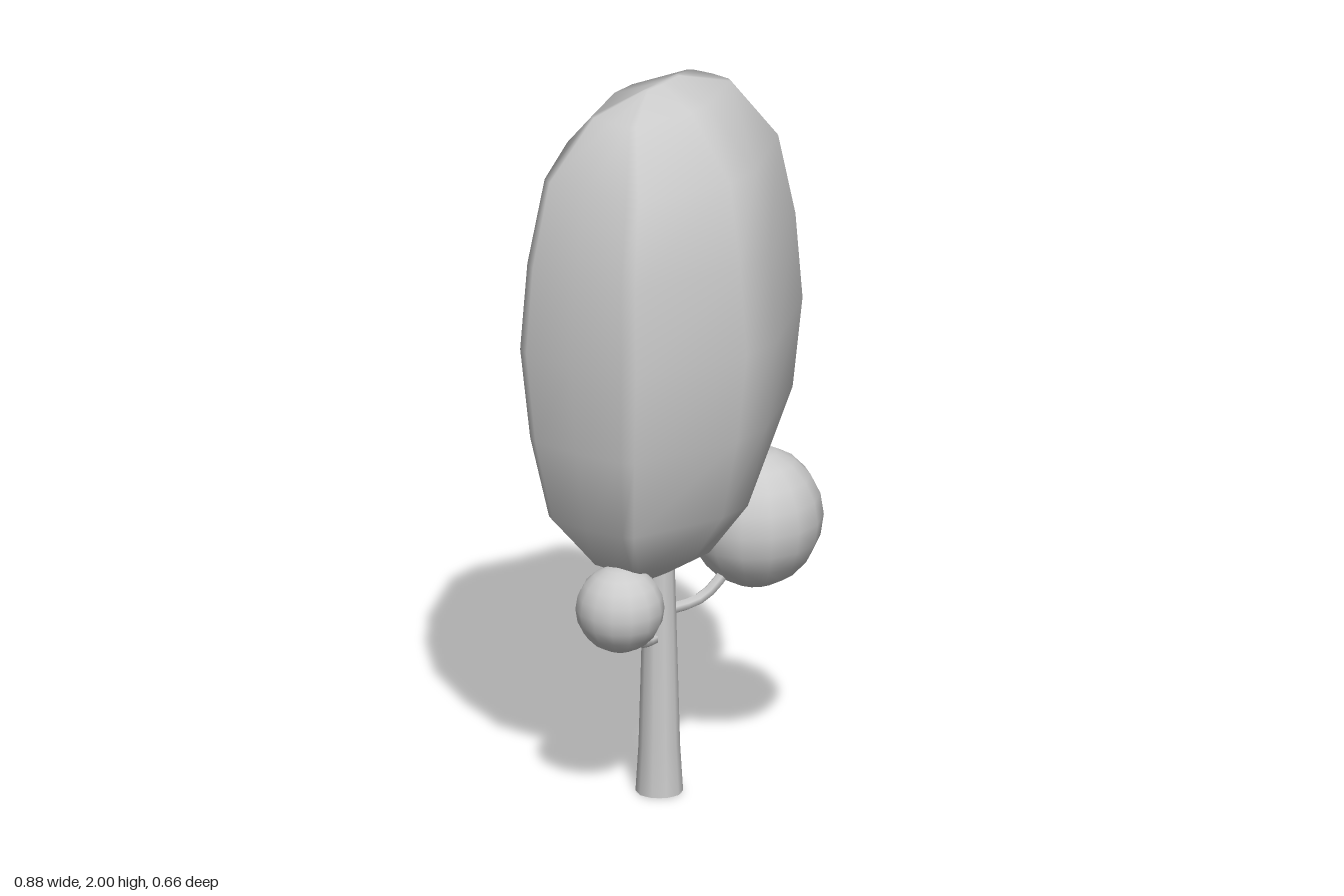
import * as THREE from 'three';

const material = new THREE.MeshStandardMaterial({ color: 0xcccccc, side: THREE.DoubleSide });

function add(group, name, geometry, x = 0, y = 0, z = 0) {
  const mesh = new THREE.Mesh(geometry, material);
  mesh.name = name;
  mesh.position.set(x, y, z);
  group.add(mesh);
  return mesh;
}

// Flattened egg: one plan outline scaled by height, half width and half depth
function crownGeometry() {
  const quarter = [[1, 0], [0.975, 0.47], [0.926, 0.576], [0.17, 1]];
  const plan = [
    ...quarter,
    ...quarter.slice(1).reverse().map(([x, z]) => [-x, z]),
    [-1, 0],
    ...quarter.slice(1).map(([x, z]) => [-x, -z]),
    ...quarter.slice(1).reverse().map(([x, z]) => [x, -z]),
  ];
  const rings = [
    [0.62, 0.075, 0.02], [0.69, 0.22, 0.13], [0.84, 0.34, 0.24], [1.07, 0.385, 0.295],
    [1.32, 0.405, 0.328], [1.56, 0.39, 0.305], [1.79, 0.34, 0.265], [1.955, 0.23, 0.125], [2, 0.075, 0.01],
  ];
  const n = plan.length;
  const positions = [], index = [];
  rings.forEach(([y, w, d], i) => {
    plan.forEach(([px, pz], j) => {
      // Shallow dent above the larger ball
      const dent = (i === 2 || i === 1) && px > 0.5 && pz > -0.1 ? 0.86 : 1;
      positions.push(px * w * dent, y, pz * d * dent);
      if (i < rings.length - 1) {
        const a = i * n + j, b = i * n + (j + 1) % n;
        index.push(a, a + n, b, b, a + n, b + n);
      }
    });
  });
  // Close both ends with fans
  const bottom = positions.length / 3, top = bottom + 1, last = (rings.length - 1) * n;
  positions.push(0, 0.62, 0, 0, 2, 0);
  for (let j = 0; j < n; j++) {
    const k = (j + 1) % n;
    index.push(bottom, j, k, top, last + k, last + j);
  }
  const geometry = new THREE.BufferGeometry();
  geometry.setAttribute('position', new THREE.Float32BufferAttribute(positions, 3));
  geometry.setIndex(index);
  geometry.computeVertexNormals();
  return geometry;
}

function branchGeometry(points) {
  const curve = new THREE.CatmullRomCurve3(points.map(p => new THREE.Vector3(...p)));
  return new THREE.TubeGeometry(curve, 8, 0.016, 6);
}

export function createModel() {
  const tree = new THREE.Group();
  tree.name = 'tree';

  add(tree, 'crown', crownGeometry(), -0.035, 0, 0);

  // Tapered trunk with a slightly flared foot
  const profile = [[0.063, 0], [0.055, 0.13], [0.042, 0.6], [0.04, 0.67]];
  add(tree, 'trunk', new THREE.LatheGeometry(profile.map(p => new THREE.Vector2(...p)), 10), -0.036, 0, -0.006);
  const foot = add(tree, 'trunkBase', new THREE.CircleGeometry(0.063, 10), -0.036, 0, -0.006);
  foot.rotation.x = Math.PI / 2;

  // Side foliage balls and the bent branches that carry them
  add(tree, 'largeFoliage', new THREE.SphereGeometry(0.187, 14, 10), 0.253, 0.71, 0.098).scale.set(1, 1.02, 0.95);
  add(tree, 'smallFoliage', new THREE.SphereGeometry(0.118, 14, 10), -0.256, 0.588, 0.025);
  add(tree, 'leftBranch', branchGeometry([[-0.03, 0.505, 0], [0.08, 0.515, 0.04], [0.13, 0.555, 0.065], [0.2, 0.65, 0.09]]));
  add(tree, 'rightBranch', branchGeometry([[-0.04, 0.44, 0], [-0.13, 0.45, 0.01], [-0.18, 0.49, 0.02], [-0.23, 0.56, 0.025]]));

  return tree;
}
